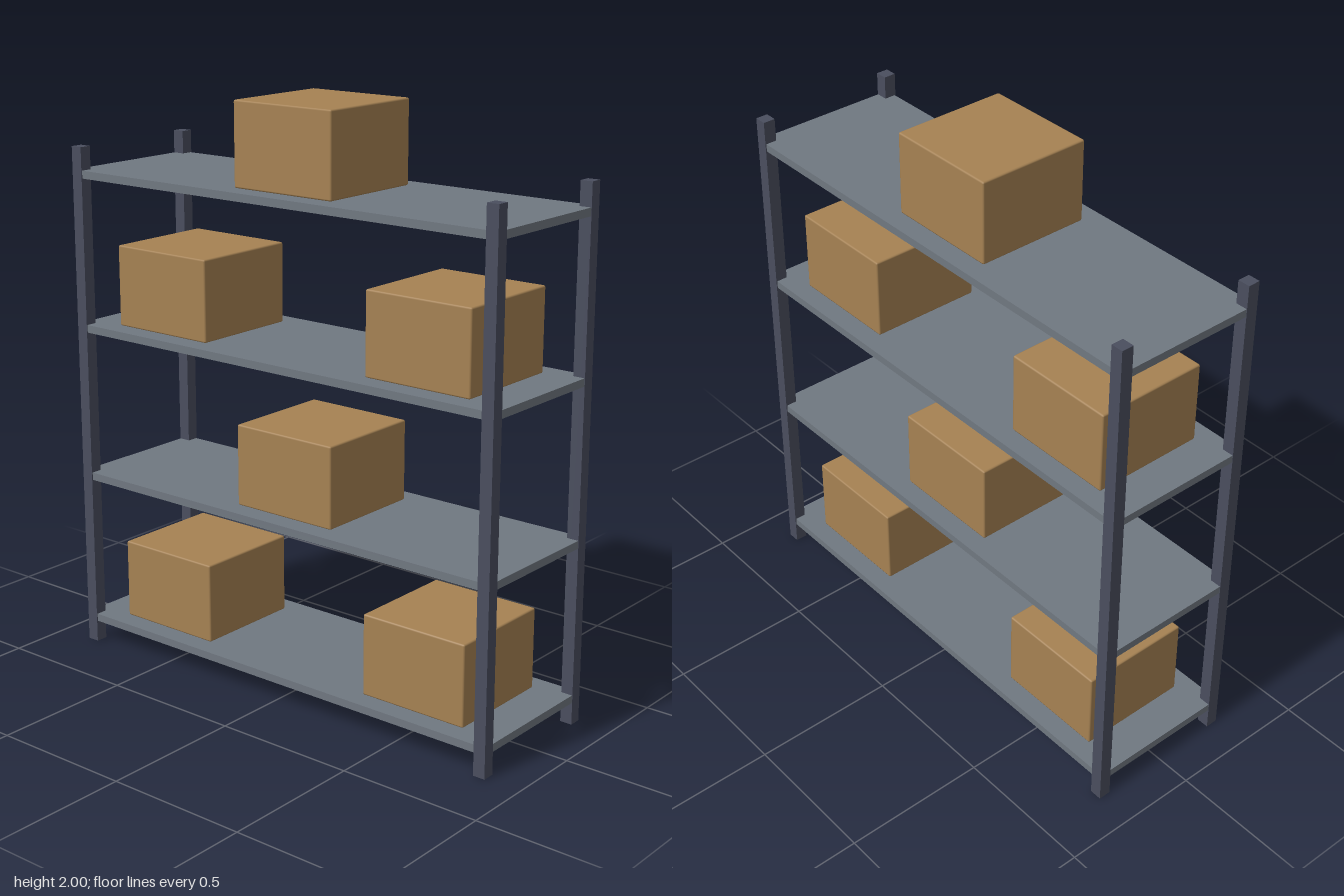
import * as THREE from 'three';
import { RoundedBoxGeometry } from 'three/addons/geometries/RoundedBoxGeometry.js';

const material = (name, color) => {
  const m = new THREE.MeshStandardMaterial({ color });
  m.name = name;
  return m;
};

export function createModel() {
  const model = new THREE.Group();
  model.name = 'storageRack';

  const postMetal = material('dark post metal', 0x4a4e5e);
  const shelfMetal = material('grey shelf metal', 0x707881);
  const cardboard = material('cardboard', 0xa68253);

  const add = (name, geometry, mat, x, y, z) => {
    const mesh = new THREE.Mesh(geometry, mat);
    mesh.name = name;
    mesh.position.set(x, y, z);
    model.add(mesh);
  };

  // Four corner posts
  const postHeight = 1.797;
  const postGeometry = new THREE.BoxGeometry(0.043, postHeight, 0.043);
  for (const x of [-0.851, 0.851]) {
    for (const z of [-0.25, 0.25]) {
      add(`${z > 0 ? 'front' : 'back'}${x > 0 ? 'Left' : 'Right'}Post`,
        postGeometry, postMetal, x, postHeight / 2, z);
    }
  }

  // Evenly spaced shelves, with cartons alternating between a pair and a single
  const thickness = 0.027;
  const cartonHeight = 0.283;
  const shelfGeometry = new THREE.BoxGeometry(1.742, thickness, 0.536);
  const cartonGeometry = new RoundedBoxGeometry(0.4, cartonHeight, 0.4, 1, 0.006);
  for (let i = 0; i < 4; i++) {
    const top = 0.104 + i * 0.5377;
    add(`shelf${i + 1}`, shelfGeometry, shelfMetal, 0, top - thickness / 2, 0);
    const places = i % 2 === 0 ? [-0.537, 0.537] : [0];
    places.forEach((x, j) => add(`carton${i + 1}_${j + 1}`,
      cartonGeometry, cardboard, x, top + cartonHeight / 2, 0));
  }

  return model;
}
